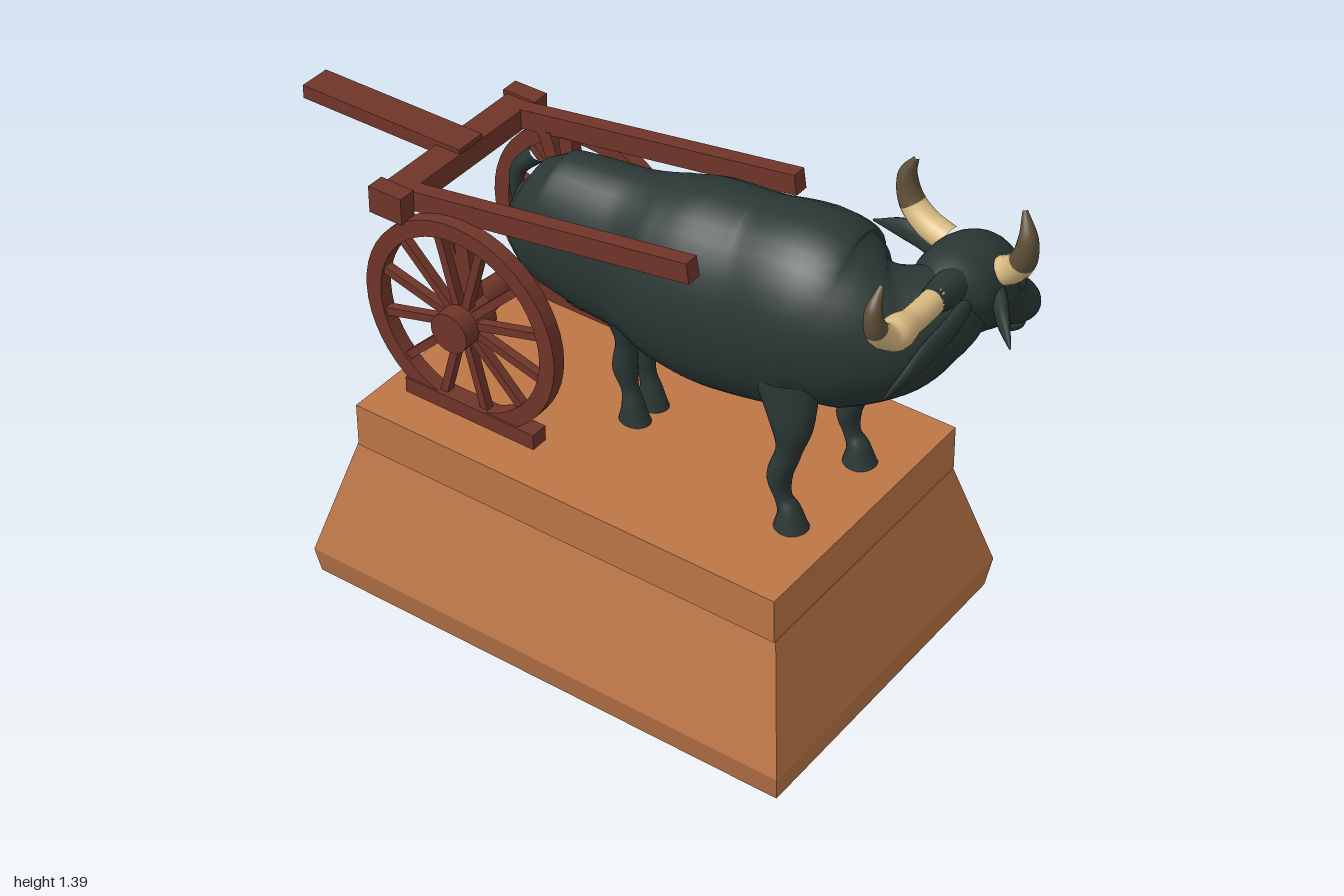
import * as THREE from 'three';

const mat = (name, color) => {
  const m = new THREE.MeshStandardMaterial({ color });
  m.name = name;
  return m;
};

// Smooth tube lofted through sections [x, y, z, halfWidth, halfHeight]; u0..u1 picks a stretch of it
function loft(sections, { ref = [0, 1, 0], u0 = 0, u1 = 1, rows = 40, n = 24 } = {}) {
  const path = new THREE.CatmullRomCurve3(sections.map(s => new THREE.Vector3(s[0], s[1], s[2])));
  const size = new THREE.CatmullRomCurve3(sections.map(s => new THREE.Vector3(s[3], s[4] ?? s[3], 0)));
  const up = new THREE.Vector3(...ref), pos = [], idx = [];
  for (let i = 0; i <= rows; i++) {
    const u = u0 + (u1 - u0) * i / rows;
    const p = path.getPoint(u), s = size.getPoint(u), t = path.getTangent(u);
    const side = up.clone().cross(t).normalize(), top = t.clone().cross(side);
    for (let j = 0; j < n; j++) {
      const a = j / n * Math.PI * 2;
      const v = p.clone().addScaledVector(side, s.x * Math.cos(a)).addScaledVector(top, s.y * Math.sin(a));
      pos.push(v.x, v.y, v.z);
      if (i < rows) {
        const k = (j + 1) % n, r = i * n;
        idx.push(r + j, r + k, r + n + j, r + k, r + n + k, r + n + j);
      }
    }
  }
  const g = new THREE.BufferGeometry();
  g.setAttribute('position', new THREE.Float32BufferAttribute(pos, 3));
  g.setIndex(idx);
  g.computeVertexNormals();
  return g;
}

// Box whose bottom and top rectangles differ: [halfX, zBack, zFront]
function taperedBox(y0, y1, low, high) {
  const g = new THREE.BoxGeometry(1, 1, 1), p = g.attributes.position;
  for (let i = 0; i < p.count; i++) {
    const [hx, zb, zf] = p.getY(i) < 0 ? low : high;
    p.setXYZ(i, Math.sign(p.getX(i)) * hx, p.getY(i) < 0 ? y0 : y1, p.getZ(i) < 0 ? zb : zf);
  }
  g.computeVertexNormals();
  return g;
}

export function createModel() {
  const hide = mat('dark hide', 0x2a3735), wood = mat('red brown wood', 0x703529);
  const clay = mat('terracotta base', 0xbc7646), horn = mat('cream horn', 0xdcbd82), hornTip = mat('dark horn tip', 0x5e5038);
  const model = new THREE.Group();
  const group = name => {
    const g = new THREE.Group();
    g.name = name;
    model.add(g);
    return g;
  };
  const add = (parent, name, geo, m, x = 0, y = 0, z = 0) => {
    const mesh = new THREE.Mesh(geo, m);
    mesh.name = name;
    mesh.position.set(x, y, z);
    parent.add(mesh);
    return mesh;
  };
  const box = (parent, name, w, h, d, x, y, z) => add(parent, name, new THREE.BoxGeometry(w, h, d), wood, x, y, z);
  const ball = (parent, name, x, y, z, sx, sy, sz) =>
    add(parent, name, new THREE.SphereGeometry(1, 20, 14), hide, x, y, z).scale.set(sx, sy, sz);

  // Pedestal
  const base = group('pedestal');
  add(base, 'foot', taperedBox(0, 0.08, [0.477, -0.655, 0.76], [0.495, -0.66, 0.77]), clay);
  add(base, 'slope', taperedBox(0.08, 0.405, [0.495, -0.66, 0.77], [0.395, -0.575, 0.69]), clay);
  add(base, 'topSlab', taperedBox(0.405, 0.53, [0.4, -0.57, 0.688], [0.4, -0.57, 0.685]), clay);
  box(base, 'upperSeam', 0.76, 0.006, 0.008, 0, 0.408, -0.573);
  box(base, 'lowerSeam', 0.82, 0.006, 0.008, 0, 0.25, -0.615);

  // Body with hump, neck turning to the left
  const bull = group('bull');
  add(bull, 'body', loft([
    [0, 1.06, -0.35, 0.008, 0.01], [0, 1.045, -0.32, 0.075, 0.13], [0, 1.02, -0.24, 0.12, 0.192],
    [0, 1.01, -0.1, 0.137, 0.215], [0, 1.01, 0, 0.142, 0.225], [0, 1.01, 0.12, 0.187, 0.25],
    [0, 1.02, 0.25, 0.2, 0.27], [0, 1.04, 0.4, 0.197, 0.265], [0, 1.075, 0.53, 0.203, 0.25],
    [0.005, 1.07, 0.62, 0.185, 0.22], [0.04, 1.075, 0.71, 0.15, 0.17], [0.1, 1.1, 0.77, 0.115, 0.125],
    [0.18, 1.11, 0.79, 0.09, 0.1],
  ], { rows: 72, n: 36 }), hide);

  // Head
  add(bull, 'head', loft([
    [0.05, 1.16, 0.79, 0.05, 0.045], [0.14, 1.15, 0.79, 0.105, 0.1], [0.23, 1.12, 0.79, 0.113, 0.125],
    [0.3, 1.06, 0.8, 0.088, 0.1], [0.36, 1.01, 0.81, 0.064, 0.07], [0.405, 0.98, 0.815, 0.067, 0.058],
    [0.435, 0.965, 0.815, 0.05, 0.045], [0.445, 0.96, 0.815, 0.004, 0.004],
  ], { rows: 44, n: 30 }), hide);
  ball(bull, 'lowerLip', 0.378, 0.938, 0.815, 0.038, 0.026, 0.045);
  ball(bull, 'poll', 0.22, 1.19, 0.79, 0.07, 0.055, 0.09);
  for (const s of [-1, 1]) {
    ball(bull, 'eye', 0.29, 1.12, 0.795 + s * 0.088, 0.025, 0.02, 0.016);
    ball(bull, 'nostril', 0.425, 0.99, 0.815 + s * 0.033, 0.02, 0.016, 0.018);
  }
  add(bull, 'sideHornRoot', loft([[0.2, 1.17, 0.8, 0.06], [0.1, 1.19, 0.81, 0.045], [-0.005, 1.212, 0.82, 0.032]]), hide);

  // Horns: pale root and dark tip
  const horns = [
    ['sideHorn', 0.6, [[0.02, 1.21, 0.82, 0.031], [-0.1, 1.217, 0.825, 0.032], [-0.19, 1.233, 0.825, 0.032],
      [-0.24, 1.28, 0.823, 0.028], [-0.25, 1.335, 0.82, 0.02], [-0.22, 1.388, 0.82, 0.006]]],
    ['frontHorn', 0.46, [[0.22, 1.185, 0.86, 0.036], [0.215, 1.215, 0.905, 0.035], [0.2, 1.265, 0.938, 0.032],
      [0.195, 1.325, 0.947, 0.024], [0.21, 1.388, 0.925, 0.006]]],
    ['backHorn', 0.48, [[0.25, 1.195, 0.71, 0.036], [0.255, 1.215, 0.65, 0.035], [0.26, 1.255, 0.603, 0.032],
      [0.26, 1.32, 0.587, 0.024], [0.255, 1.382, 0.612, 0.006]]],
  ];
  for (const [name, split, pts] of horns) {
    const ref = name === 'sideHorn' ? [0, 0, 1] : [1, 0, 0];
    add(bull, name, loft(pts, { ref, u1: split, rows: 20, n: 18 }), horn);
    add(bull, name + 'Tip', loft(pts, { ref, u0: split, rows: 20, n: 18 }), hornTip);
  }

  // Ears
  const ears = [
    [[0.12, 1.16, 0.85, 0.015, 0.02], [0.03, 1.155, 0.865, 0.018, 0.03], [-0.09, 1.15, 0.872, 0.016, 0.034], [-0.19, 1.138, 0.872, 0.01, 0.018], [-0.275, 1.128, 0.87, 0.002, 0.003]],
    [[0.23, 1.14, 0.84, 0.016, 0.02], [0.19, 1.145, 0.885, 0.02, 0.03], [0.13, 1.135, 0.935, 0.016, 0.03], [0.055, 1.122, 1.0, 0.002, 0.003]],
    [[0.25, 1.13, 0.74, 0.016, 0.02], [0.27, 1.14, 0.67, 0.02, 0.03], [0.295, 1.14, 0.58, 0.018, 0.03], [0.305, 1.122, 0.475, 0.002, 0.003]],
  ];
  for (const e of ears) add(bull, 'ear', loft(e, { rows: 20, n: 16 }), hide);

  // Legs, tail and underside
  for (const s of [-1, 1]) {
    add(bull, 'frontLeg', loft([
      [s * 0.135, 0.95, 0.53, 0.05, 0.09], [s * 0.148, 0.83, 0.555, 0.042, 0.055], [s * 0.15, 0.75, 0.55, 0.029, 0.032],
      [s * 0.15, 0.67, 0.528, 0.033, 0.031], [s * 0.15, 0.61, 0.54, 0.022, 0.022], [s * 0.15, 0.575, 0.558, 0.03, 0.03],
      [s * 0.15, 0.527, 0.565, 0.042, 0.046],
    ], { ref: [0, 0, 1], n: 20 }), hide);
    add(bull, 'hindLeg', loft([
      [s * 0.06, 0.95, -0.03, 0.06, 0.1], [s * 0.042, 0.82, 0, 0.036, 0.05], [s * 0.037, 0.75, 0.0, 0.027, 0.03],
      [s * 0.037, 0.68, -0.005, 0.029, 0.034], [s * 0.037, 0.62, 0.01, 0.022, 0.023], [s * 0.038, 0.575, 0.02, 0.029, 0.03],
      [s * 0.038, 0.527, 0.025, 0.036, 0.045],
    ], { ref: [0, 0, 1], n: 20 }), hide);
  }
  add(bull, 'tail', loft([[0, 1.18, -0.29, 0.025], [0, 1.1, -0.355, 0.02], [0, 0.98, -0.345, 0.014], [0, 0.87, -0.27, 0.018], [0, 0.77, -0.2, 0.006]],
    { ref: [1, 0, 0], n: 14 }), hide);
  ball(bull, 'underside', 0, 0.84, -0.14, 0.06, 0.06, 0.08);

  // Cart wheels, axle and chocks
  const cart = group('cart'), wy = 0.807, wz = -0.33;
  const rim = new THREE.LatheGeometry([[0.245, -0.02], [0.29, -0.02], [0.29, 0.02], [0.245, 0.02], [0.245, -0.02]]
    .map(p => new THREE.Vector2(...p)), 48).toNonIndexed();
  rim.computeVertexNormals();
  for (const s of [-1, 1]) {
    const wheel = new THREE.Group();
    wheel.name = 'wheel';
    wheel.position.set(s * 0.257, wy, wz);
    cart.add(wheel);
    add(wheel, 'rim', rim, wood).rotation.z = Math.PI / 2;
    add(wheel, 'hub', new THREE.CylinderGeometry(0.055, 0.055, 0.12, 24), wood).rotation.z = Math.PI / 2;
    for (let i = 0; i < 12; i++) {
      const a = (i + 0.5) * Math.PI / 6;
      const spoke = box(wheel, 'spoke', 0.024, 0.22, 0.022, 0, Math.cos(a) * 0.15, Math.sin(a) * 0.15);
      spoke.rotation.x = a;
    }
    box(cart, 'wheelChock', 0.05, 0.045, 0.4, s * 0.257, 0.551, -0.305);

    // Sloping shafts and struts to the axle
    const shaft = box(cart, 'shaft', 0.042, 0.055, 0.86, s * 0.22, 1.15, -0.105);
    shaft.rotation.x = -0.155;
    for (const z of [-0.43, -0.36]) {
      const strut = box(cart, 'strut', 0.035, 0.27, 0.04, s * 0.215, 0.95, (z + wz) / 2);
      strut.rotation.x = Math.atan2(z - wz, 0.27);
    }
    box(cart, 'crossbarEnd', 0.05, 0.075, 0.1, s * 0.265, 1.085, -0.535);
  }
  const axle = [[0.048, -0.21], [0.036, -0.1], [0.03, 0], [0.036, 0.1], [0.048, 0.21]].map(p => new THREE.Vector2(...p));
  add(cart, 'axle', new THREE.LatheGeometry(axle, 24), wood, 0, wy, wz - 0.02).rotation.z = Math.PI / 2;

  // Crossbar and rear pole
  box(cart, 'crossbar', 0.5, 0.06, 0.075, 0, 1.085, -0.535);
  box(cart, 'rearPole', 0.09, 0.038, 0.5, 0, 1.108, -0.75);
  return model;
}
